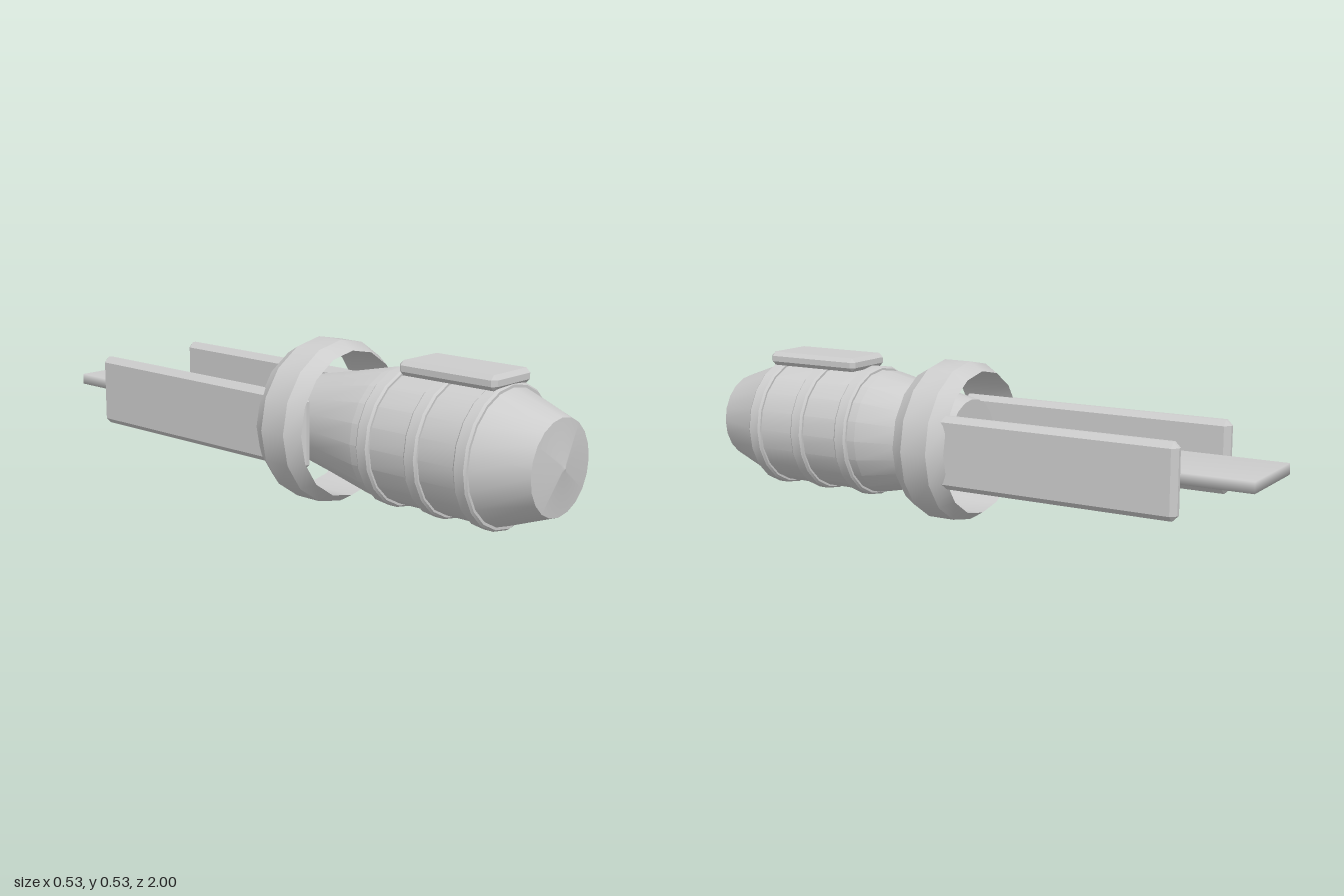
import * as THREE from 'three';
import { mergeVertices, toCreasedNormals } from 'three/addons/utils/BufferGeometryUtils.js';
import { ConvexGeometry } from 'three/addons/geometries/ConvexGeometry.js';

const AXIS_Y = 0.267;

export function createModel() {
  const group = new THREE.Group();
  const grey = new THREE.MeshStandardMaterial({ color: 0xcccccc });
  grey.name = 'light grey';

  function add(name, geometry, x = 0, y = AXIS_Y, z = 0) {
    const mesh = new THREE.Mesh(geometry, grey);
    mesh.name = name;
    mesh.position.set(x, y, z);
    group.add(mesh);
    return mesh;
  }

  // Turned part along z from [radius, z] points, listed back to front
  function turned(points, sides, crease) {
    const profile = points.map(([r, z]) => new THREE.Vector2(r, z));
    const geometry = new THREE.LatheGeometry(profile, sides).rotateX(Math.PI / 2);
    return toCreasedNormals(geometry, crease);
  }

  // Box with all edges chamfered by b
  function chamferedBox(w, h, d, b) {
    const points = [];
    for (const x of [-1, 1]) for (const y of [-1, 1]) for (const z of [-1, 1]) {
      const [X, Y, Z] = [w / 2, h / 2, d / 2];
      points.push(
        new THREE.Vector3(x * X, y * (Y - b), z * (Z - b)),
        new THREE.Vector3(x * (X - b), y * Y, z * (Z - b)),
        new THREE.Vector3(x * (X - b), y * (Y - b), z * Z)
      );
    }
    return new ConvexGeometry(points);
  }

  // Barrel: back cap, tapered neck, straight body, nose cone and blunt tip
  add('barrel', turned([
    [0, 0.04], [0.141, 0.04], [0.171, 0.19], [0.21, 0.37],
    [0.21, 0.81], [0.147, 0.983], [0.014, 0.995], [0, 1]
  ], 20, 0.33));

  // Raised bands around the barrel
  for (const z of [0.79, 0.609, 0.425]) {
    add('band', turned([
      [0.2, -0.024], [0.217, -0.024], [0.223, -0.017],
      [0.223, 0.017], [0.217, 0.024], [0.2, 0.024]
    ], 20, 0.33), 0, AXIS_Y, z);
  }

  // Open collar around the neck
  add('collar', turned([
    [0.238, 0], [0.267, 0.05], [0.267, 0.145], [0.238, 0.195], [0.238, 0]
  ], 16, 0.45));

  // Flat tail blade with softly shared normals
  let blade = new THREE.BoxGeometry(0.294, 0.036, 1.04);
  blade.deleteAttribute('normal');
  blade.deleteAttribute('uv');
  blade = mergeVertices(blade);
  blade.computeVertexNormals();
  add('tailBlade', blade, 0, AXIS_Y, -0.48);

  // Side plates running back from the collar
  for (const side of [-1, 1]) {
    add(side > 0 ? 'leftPlate' : 'rightPlate',
      chamferedBox(0.048, 0.238, 0.98, 0.018), side * 0.201, 0.269, -0.3);
  }

  // Pad on top of the barrel
  add('topPad', chamferedBox(0.188, 0.047, 0.36, 0.014), 0, 0.4985, 0.635);

  return group;
}
